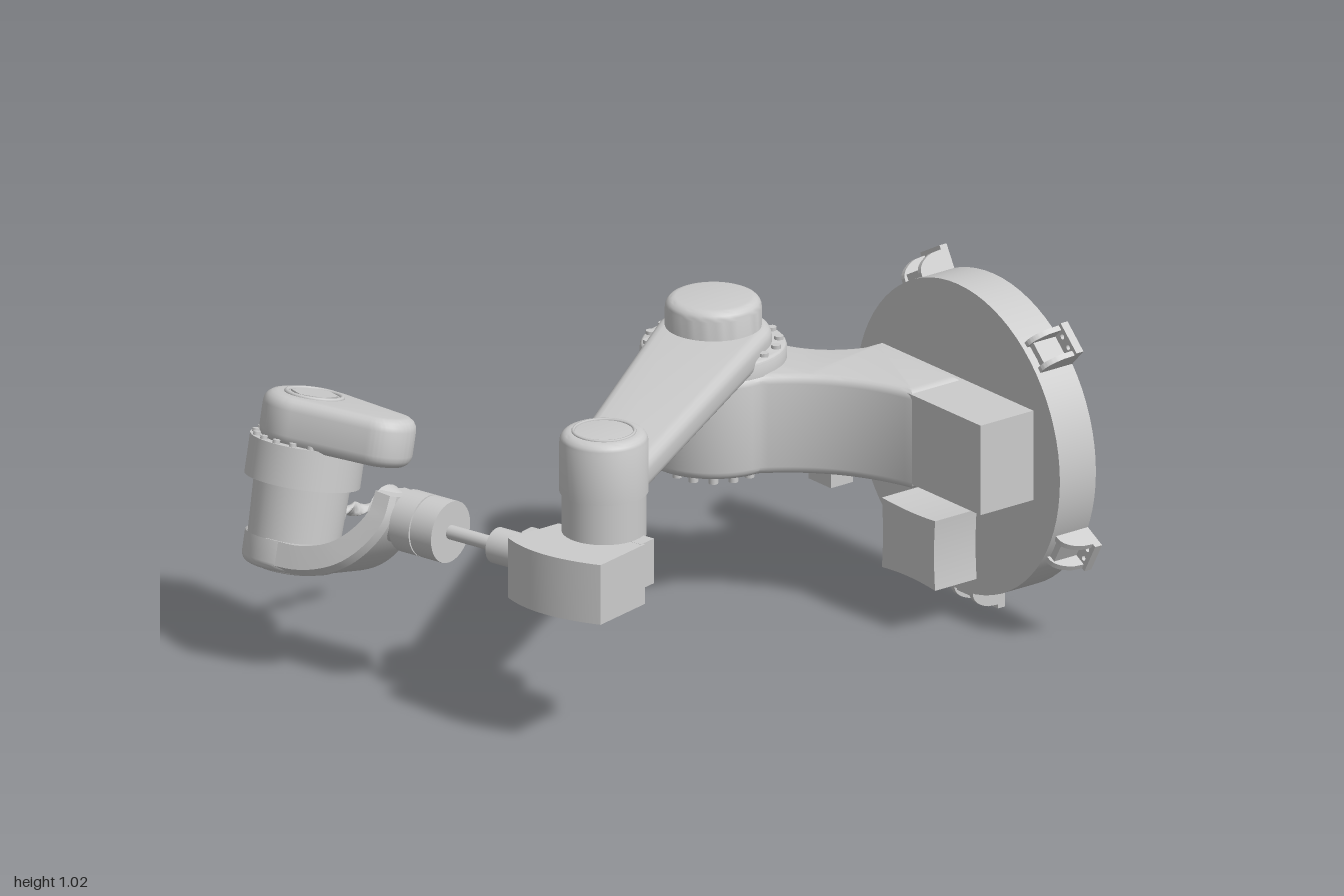
import * as THREE from 'three';
import { toCreasedNormals } from 'three/addons/utils/BufferGeometryUtils.js';

const mat = new THREE.MeshStandardMaterial({ color: 0xcccccc, side: THREE.DoubleSide });

function add(parent, name, geo, x = 0, y = 0, z = 0) {
  const m = new THREE.Mesh(geo, mat);
  m.name = name;
  m.position.set(x, y, z);
  parent.add(m);
  return m;
}

// Extruded outline; size stays true to the shape despite the bevel
function extrude(shape, depth, bevel = 0, curveSegments = 20) {
  const g = new THREE.ExtrudeGeometry(shape, {
    depth: depth - 2 * bevel, bevelEnabled: bevel > 0, bevelSize: bevel, bevelThickness: bevel,
    bevelOffset: -bevel, bevelSegments: 4, curveSegments });
  g.translate(0, 0, bevel);
  return toCreasedNormals(g, 0.6);
}

// Horizontal slab: the shape is drawn in (x, -z)
const slab = (shape, y0, y1, bevel) => extrude(shape, y1 - y0, bevel).rotateX(-Math.PI / 2).translate(0, y0, 0);

// Outline around two circles of different radius
function capsule(ax, ay, ar, bx, by, br) {
  const d = Math.atan2(by - ay, bx - ax);
  const t = Math.acos((ar - br) / Math.hypot(bx - ax, by - ay));
  const s = new THREE.Shape();
  s.absarc(ax, ay, ar, d + t, d - t + Math.PI * 2, false);
  s.absarc(bx, by, br, d - t, d + t, false);
  s.closePath();
  return s;
}

// Upright cylinder with a rounded upper rim
function roundCap(r, y0, y1, b) {
  const p = [new THREE.Vector2(r, y0)];
  for (let i = 0; i <= 5; i++) {
    const a = i / 5 * Math.PI / 2;
    p.push(new THREE.Vector2(r - b + b * Math.cos(a), y1 - b + b * Math.sin(a)));
  }
  p.push(new THREE.Vector2(0, y1));
  return toCreasedNormals(new THREE.LatheGeometry(p, 40), 0.6);
}

const cyl = (r0, r1, y0, y1, n = 40) => new THREE.CylinderGeometry(r1, r0, y1 - y0, n).translate(0, (y0 + y1) / 2, 0);
const cylX = (r0, r1, x0, x1, n = 32) => cyl(r0, r1, -x1, -x0, n).rotateZ(Math.PI / 2);

function boltRing(parent, name, count, ring, r, x, y0, y1, z) {
  for (let i = 0; i < count; i++) {
    const a = (i + 0.5) / count * Math.PI * 2;
    add(parent, name, cyl(r, r, y0, y1, 10), x + ring * Math.cos(a), 0, z + ring * Math.sin(a));
  }
}

function makeBase(root) {
  const base = new THREE.Group();
  base.name = 'base';
  root.add(base);
  add(base, 'baseDisc', new THREE.CylinderGeometry(0.46, 0.46, 0.13, 72).rotateX(Math.PI / 2), 0.27, 0.53, -0.935);

  // Mounting tabs with two bolt holes and side gussets
  const plate = new THREE.Shape();
  plate.moveTo(0.43, -0.05).lineTo(0.53, -0.05).lineTo(0.53, 0.05).lineTo(0.43, 0.05).closePath();
  for (const s of [-1, 1]) {
    const h = new THREE.Path();
    h.absarc(0.508, s * 0.018, 0.008, 0, Math.PI * 2, true);
    plate.holes.push(h);
  }
  const gusset = new THREE.Shape();
  gusset.moveTo(0.44, 0).lineTo(0.52, 0).lineTo(0.515, 0.06).quadraticCurveTo(0.5, 0.11, 0.47, 0.115).lineTo(0.44, 0.115).closePath();
  for (const deg of [-90, -29, 46, 119, 199]) {
    const tab = new THREE.Group();
    tab.name = 'mountingTab';
    tab.position.set(0.27, 0.53, -1);
    tab.rotation.z = deg * Math.PI / 180;
    add(tab, 'tabPlate', extrude(plate, 0.025));
    for (const y of [-0.034, 0.05]) add(tab, 'tabGusset', extrude(gusset, 0.016).rotateX(Math.PI / 2), 0, y, 0);
    add(tab, 'tabPad', new THREE.BoxGeometry(0.04, 0.07, 0.09), 0.46, 0, 0.06);
    base.add(tab);
  }
  add(base, 'baseBlock', new THREE.BoxGeometry(0.68, 0.27, 0.19), 0.27, 0.575, -0.775);

  // Lower box with slightly concave sides
  const box = new THREE.Shape();
  box.moveTo(0.115, 0.125).quadraticCurveTo(0.235, 0.14, 0.355, 0.125).quadraticCurveTo(0.345, 0.23, 0.355, 0.335)
    .quadraticCurveTo(0.235, 0.325, 0.115, 0.335).quadraticCurveTo(0.125, 0.23, 0.115, 0.125);
  add(base, 'connectorBox', extrude(box, 0.16), 0, 0, -0.88);
}

function makeShoulder(root) {
  const g = new THREE.Group();
  g.name = 'shoulder';
  root.add(g);
  // Curved link sweeping from the base block into the round housing
  const s = new THREE.Shape();
  s.moveTo(-0.07, 0.86).lineTo(-0.07, 0.8).quadraticCurveTo(-0.12, 0.66, -0.27, 0.63);
  s.absarc(-0.27, 0.42, 0.21, Math.PI / 2, Math.PI * 2, false);
  s.quadraticCurveTo(0.06, 0.62, 0.3, 0.68).lineTo(0.3, 0.86).closePath();
  add(g, 'shoulderLink', slab(s, 0.42, 0.72, 0.025));
  add(g, 'lowerFlange', cyl(0.12, 0.12, 0.395, 0.425), -0.27, 0, -0.42);
  boltRing(g, 'lowerBolt', 14, 0.13, 0.014, -0.27, 0.385, 0.43, -0.42);
  add(g, 'cableStub', new THREE.BoxGeometry(0.1, 0.06, 0.08), 0.01, 0.41, -0.62);
  add(g, 'shoulderFlange', roundCap(0.208, 0.715, 0.765, 0.015), -0.27, 0, -0.42);
  boltRing(g, 'flangeBolt', 16, 0.185, 0.014, -0.27, 0.74, 0.775, -0.42);
  add(g, 'shoulderCap', roundCap(0.137, 0.72, 0.9, 0.03), -0.27, 0, -0.42);
}

function makeUpperArm(root) {
  const g = new THREE.Group();
  g.name = 'upperArm';
  root.add(g);
  add(g, 'armBeam', slab(capsule(-0.27, 0.42, 0.165, 0.36, -0.48, 0.122), 0.72, 0.815, 0.032));
  // Raised ribs along the outer edge
  for (const [x, z] of [[-0.15, -0.03], [-0.03, 0.12], [0.09, 0.27]])
    add(g, 'armRib', new THREE.BoxGeometry(0.02, 0.02, 0.07), x, 0.789, z).rotation.y = 0.75;
  add(g, 'elbowCap', roundCap(0.126, 0.72, 0.9, 0.03), 0.36, 0, 0.48);
  add(g, 'elbowRim', new THREE.TorusGeometry(0.087, 0.005, 6, 40).rotateX(Math.PI / 2), 0.36, 0.9, 0.48);
  add(g, 'elbowPost', cyl(0.12, 0.12, 0.59, 0.725), 0.36, 0, 0.48);
  const b = new THREE.Shape();
  b.moveTo(0.24, -0.55).lineTo(0.24, -0.73).quadraticCurveTo(0.4, -0.77, 0.57, -0.66).lineTo(0.52, -0.46).lineTo(0.3, -0.5).closePath();
  add(g, 'elbowBlock', slab(b, 0.42, 0.6, 0));
  add(g, 'elbowBackPad', new THREE.BoxGeometry(0.12, 0.135, 0.06), 0.45, 0.533, 0.455).rotation.y = 0.23;
}

// Lower fork: rectangular sections lofted along a curve that rises to the neck
function forkGeometry() {
  const path = new THREE.CatmullRomCurve3([[0, -0.175], [0.12, -0.17], [0.22, -0.135], [0.29, -0.075], [0.335, 0], [0.34, 0.07]]
    .map(([x, y]) => new THREE.Vector3(x, y, 0)));
  const n = 24, pos = [], idx = [];
  for (let i = 0; i <= n; i++) {
    const t = i / n, p = path.getPoint(t), d = path.getTangent(t);
    const w = 0.138 - 0.068 * t, h = 0.045 - 0.012 * t;
    for (const [a, b] of [[-1, -0.6], [-0.8, -1], [0.8, -1], [1, -0.6], [1, 1], [-1, 1]])
      pos.push(p.x - d.y * b * h, p.y + d.x * b * h, a * w);
    if (i < n) for (let k = 0; k < 6; k++) {
      const a = i * 6 + k, b = i * 6 + (k + 1) % 6;
      idx.push(a, b, a + 6, b, b + 6, a + 6);
    }
  }
  const e = n * 6;
  for (let k = 1; k < 5; k++) idx.push(0, k + 1, k, e, e + k, e + k + 1);
  const g = new THREE.BufferGeometry();
  g.setAttribute('position', new THREE.Float32BufferAttribute(pos, 3));
  g.setIndex(idx);
  return toCreasedNormals(g, 0.5);
}

// Fluted bit: a flattened rod twisted along its length
function drillGeometry(length) {
  const g = new THREE.CylinderGeometry(0.021, 0.021, length, 14, 40);
  const p = g.attributes.position;
  for (let i = 0; i < p.count; i++) {
    const x = p.getX(i), y = p.getY(i), z = p.getZ(i) * 0.5, a = y * 32;
    p.setXYZ(i, x * Math.cos(a) - z * Math.sin(a), y, x * Math.sin(a) + z * Math.cos(a));
  }
  return toCreasedNormals(g, 0.7);
}

function makeForearm(root) {
  const g = new THREE.Group();
  g.name = 'forearm';
  g.position.set(-0.6, 0.51, 0.805);
  g.rotation.set(-0.23, 0.233, 0, 'YXZ');
  root.add(g);
  // Parts along the forearm axis
  add(g, 'elbowCollar', cylX(0.078, 0.078, 0.81, 0.9, 12));
  add(g, 'shaftSocket', cylX(0.052, 0.052, 0.7, 0.82));
  add(g, 'shaft', cylX(0.021, 0.021, 0.5, 0.74, 16));
  add(g, 'wristDrumRear', cylX(0.09, 0.09, 0.46, 0.535));
  add(g, 'wristDrumGroove', cylX(0.084, 0.084, 0.45, 0.465));
  add(g, 'wristDrumFront', cylX(0.09, 0.09, 0.385, 0.455));
  add(g, 'wristNeck', cylX(0.055, 0.085, 0.3, 0.39));

  // Tool head on the tilted wrist axis
  add(g, 'wristFork', forkGeometry());
  add(g, 'forkDisc', roundCap(0.14, 0.13, 0.22, 0.025).rotateX(Math.PI));
  add(g, 'forkHub', new THREE.TorusGeometry(0.09, 0.008, 8, 36).rotateX(Math.PI / 2), 0, -0.22, 0);
  boltRing(g, 'hubBolt', 12, 0.068, 0.01, 0, -0.23, -0.21, 0);
  add(g, 'headBody', cyl(0.132, 0.138, -0.14, 0.04));
  add(g, 'headRing', cyl(0.165, 0.165, 0.03, 0.146, 48));
  boltRing(g, 'ringBolt', 18, 0.15, 0.011, 0, 0.13, 0.156, 0);
  add(g, 'headCap', slab(capsule(0, 0, 0.142, 0.25, 0, 0.095), 0.135, 0.277, 0.035));
  add(g, 'capRim', new THREE.TorusGeometry(0.08, 0.007, 8, 36).rotateX(Math.PI / 2), 0, 0.277, 0);
  add(g, 'capHexNut', cyl(0.068, 0.068, 0.26, 0.282, 6));

  // Drill pointing backwards out of the head
  const tool = new THREE.Group();
  tool.name = 'drill';
  tool.position.set(0, -0.072, 0);
  tool.rotation.x = -Math.PI / 2;
  add(tool, 'drillChuck', cyl(0.055, 0.05, 0.1, 0.165, 24));
  add(tool, 'drillChuckNose', cyl(0.05, 0.022, 0.165, 0.2, 24));
  add(tool, 'drillBit', drillGeometry(0.25), 0, 0.315, 0);
  g.add(tool);
}

export function createModel() {
  const root = new THREE.Group();
  root.name = 'robotArm';
  makeBase(root);
  makeShoulder(root);
  makeUpperArm(root);
  makeForearm(root);
  return root;
}
